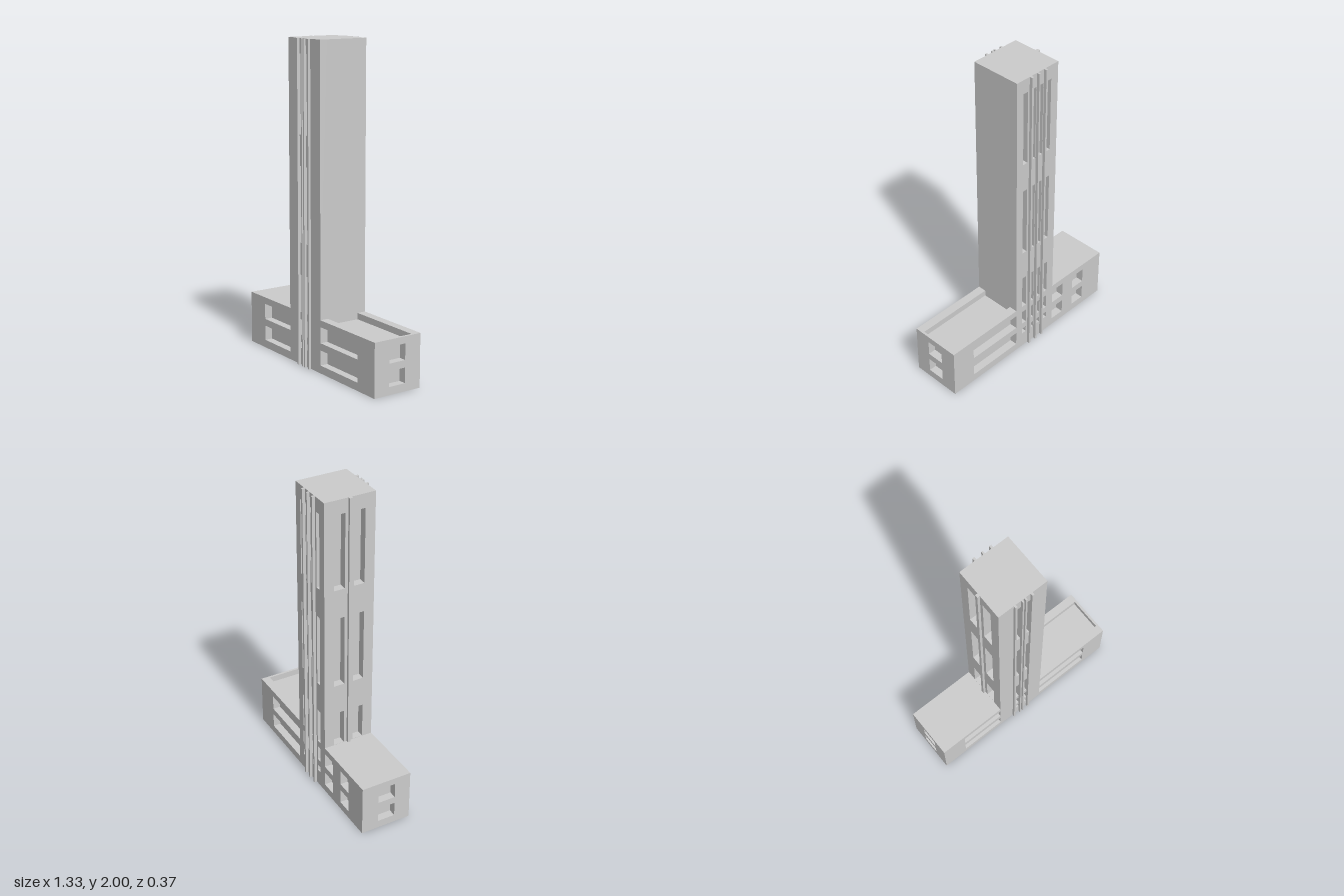
import * as THREE from 'three';

const D = 0.05; // depth of the facade panels and window recesses
const HX = 0.665, HZ = 0.165, BASE = 0.333, TOP = 2;
const TX0 = -0.205, TX1 = 0.125; // tower sides
const ROOF = 0.293; // sunken roof level

const material = new THREE.MeshStandardMaterial({ color: 0xcccccc });

const floors = [[0.05, 0.145], [0.19, 0.29]];
const towerRows = [[0.335, 0.57], [0.77, 1.24], [1.43, 1.91]];
const slotRows = [[0.105, 0.145], [0.19, 0.29], ...towerRows];

// Every combination of column and row as a [x0, x1, y0, y1] rectangle
const grid = (cols, rows) => cols.flatMap(c => rows.map(r => [...c, ...r]));

function rectPath(Type, [x0, x1, y0, y1]) {
  const p = new Type();
  p.moveTo(x0, y0).lineTo(x1, y0).lineTo(x1, y1).lineTo(x0, y1).closePath();
  return p;
}

// Wall with rectangular openings
function panel(shape, openings, depth = D) {
  shape.holes = openings.map(o => rectPath(THREE.Path, o));
  return new THREE.ExtrudeGeometry(shape, { depth, bevelEnabled: false });
}

function box(x0, x1, y0, y1, z0, z1) {
  return new THREE.BoxGeometry(x1 - x0, y1 - y0, z1 - z0)
    .translate((x0 + x1) / 2, (y0 + y1) / 2, (z0 + z1) / 2);
}

// Outline shared by the front and back: low wing with the tower rising from it
function facadeShape() {
  return new THREE.Shape([
    [-HX, 0], [HX, 0], [HX, BASE], [TX1, BASE],
    [TX1, TOP], [TX0, TOP], [TX0, BASE], [-HX, BASE],
  ].map(([x, y]) => new THREE.Vector2(x, y)));
}

export function createModel() {
  const group = new THREE.Group();
  const add = (name, geometry) => {
    const mesh = new THREE.Mesh(geometry, material);
    mesh.name = name;
    group.add(mesh);
  };
  const inner = HZ - D;

  // Solid cores behind the walls
  add('baseCore', box(-HX + D, HX - D, 0, ROOF, -inner, inner));
  add('towerCore', box(TX0 + D, TX1, 0, TOP, -inner, inner));

  // Front wall: ribbon windows and two narrow slots between the fins
  add('frontFacade', panel(facadeShape(), [
    ...grid([[-0.5, TX0], [TX1, 0.5]], floors),
    ...grid([[-0.089, -0.053], [-0.021, 0.011]], slotRows),
  ]).translate(0, 0, inner));

  // Back wall: ribbon windows, square windows and four slot columns
  add('backFacade', panel(facadeShape(), [
    ...grid([[TX1, 0.5], [-0.305, TX0], [-0.5, -0.4]], floors),
    ...grid([[-0.15, -0.115], [-0.085, -0.047], [-0.028, 0.007], [0.038, 0.073]], slotRows),
  ]).translate(0, 0, -HZ));

  // End walls of the low wings
  for (const [name, x] of [['rightEndWall', -HX + D], ['leftEndWall', HX]]) {
    const shape = rectPath(THREE.Shape, [-inner, inner, 0, ROOF]);
    add(name, panel(shape, grid([[-0.055, 0.06]], floors))
      .rotateY(-Math.PI / 2).translate(x, 0, 0));
  }

  // Windowed side of the tower
  const side = rectPath(THREE.Shape, [-inner, inner, ROOF, TOP]);
  add('towerSideWall', panel(side, grid([[-0.1, -0.03], [0.03, 0.1]], towerRows))
    .rotateY(-Math.PI / 2).translate(TX0 + D, 0, 0));

  // Wing roof with a sunken terrace
  const roof = rectPath(THREE.Shape, [-HX, HX, -inner, inner]);
  add('wingRoof', panel(roof, [[TX1, 0.65, -0.11, 0.11]], BASE - ROOF)
    .rotateX(-Math.PI / 2).translate(0, ROOF, 0));

  // Vertical fins
  const frontFins = [[-0.102, -0.089], [-0.053, -0.043], [-0.032, -0.021], [0.011, 0.025]];
  const backFins = [[-0.102, -0.089], [-0.043, -0.032], [0.011, 0.025]];
  for (const [a, b] of frontFins) add('frontFin', box(a, b, 0, TOP, inner, 0.181));
  for (const [a, b] of backFins) add('backFin', box(a, b, 0, TOP, -0.184, -inner));
  add('sideFin', box(-0.221, TX0 + D, BASE, TOP, -0.011, 0.009));

  return group;
}
